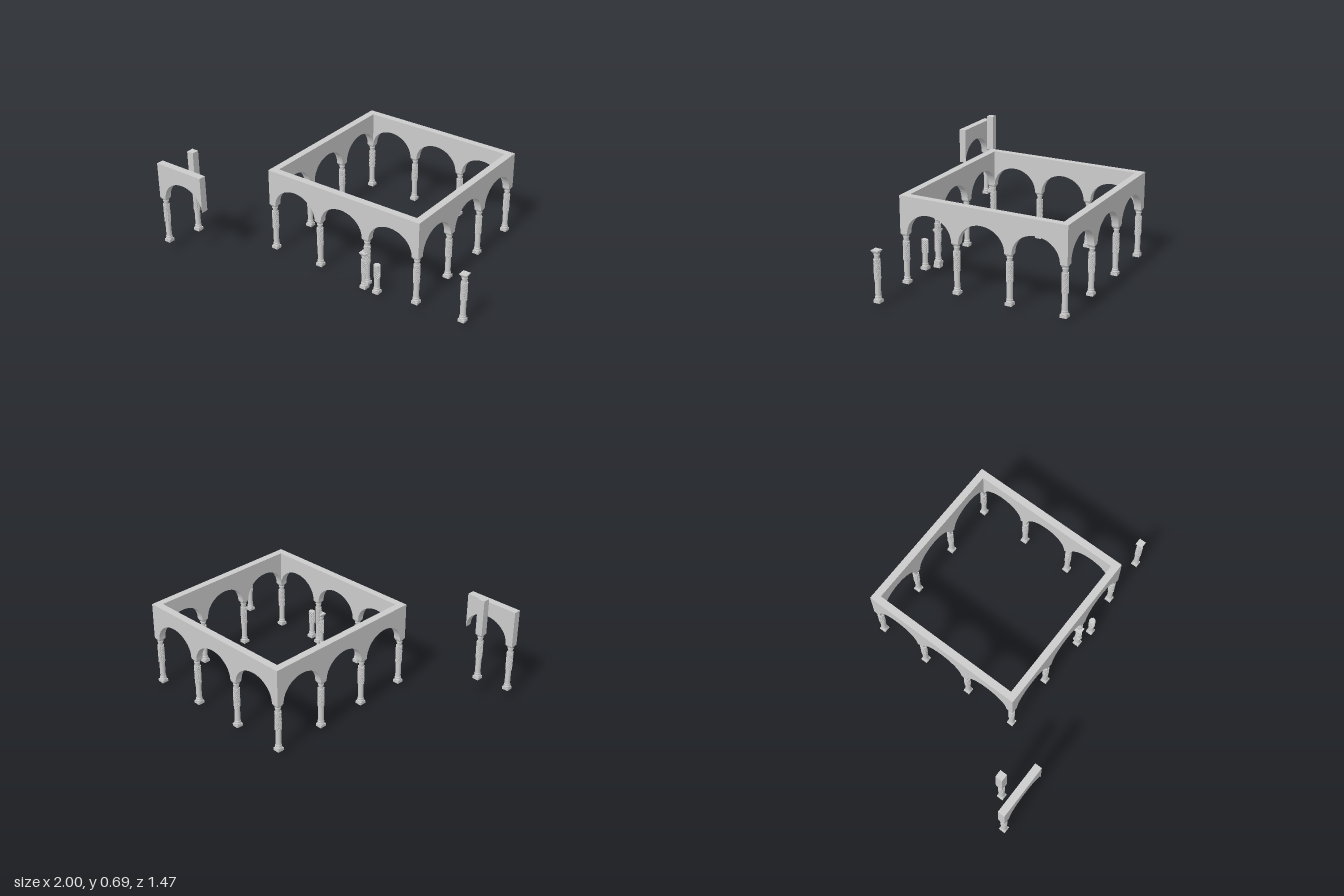
import * as THREE from 'three';

const stone = new THREE.MeshStandardMaterial({ color: 0xcccccc, side: THREE.DoubleSide });
const facet = new THREE.MeshStandardMaterial({ color: 0xcccccc, flatShading: true });

const PIER = 0.0235;   // half width of a pier and half thickness of a wall
const SPRING = 0.352;  // height where the arches start
const APEX = 0.488;
const TOP = 0.586;

function add(parent, name, geometry, material, x = 0, y = 0, z = 0) {
  const mesh = new THREE.Mesh(geometry, material);
  mesh.name = name;
  mesh.position.set(x, y, z);
  parent.add(mesh);
  return mesh;
}

// Square block that tapers from bottom to top, given by its half widths
function squareTaper(bottom, top, height) {
  return new THREE.CylinderGeometry(top * Math.SQRT2, bottom * Math.SQRT2, height, 4, 1)
    .rotateY(Math.PI / 4).translate(0, height / 2, 0);
}

function lathe(points) {
  return new THREE.LatheGeometry(points.map(([r, y]) => new THREE.Vector2(r, y)), 20);
}

// Cylinder with spiralling grooves
function ropeGeometry(height) {
  const geo = new THREE.CylinderGeometry(0.02, 0.02, height, 60, 14);
  geo.translate(0, height / 2, 0);
  const p = geo.attributes.position;
  for (let i = 0; i < p.count; i++) {
    const x = p.getX(i), z = p.getZ(i), y = p.getY(i);
    if (Math.hypot(x, z) < 0.01) continue;
    const a = Math.atan2(z, x);
    const k = 1 + 0.085 * Math.sin(10 * a + y * 500);
    p.setX(i, x * k);
    p.setZ(i, z * k);
  }
  return geo;
}

// Column standing at y = 0; heights give the tops of shaft, rope and capital
function column(parent, x, y, z, shaftTop = 0.145, ropeTop = 0.268, capTop = 0.324) {
  const g = new THREE.Group();
  g.name = 'column';
  g.position.set(x, y, z);
  add(g, 'plinth', squareTaper(0.0215, 0.0215, 0.018), facet);
  add(g, 'baseMoulding', lathe([[0.021, 0.018], [0.0225, 0.022], [0.021, 0.027],
    [0.018, 0.029], [0.019, 0.034], [0.0205, 0.037], [0.0185, 0.041], [0.017, 0.043]]), stone);
  add(g, 'shaft', new THREE.CylinderGeometry(0.0175, 0.0175, shaftTop - 0.04, 20),
    stone, 0, (shaftTop + 0.04) / 2);
  add(g, 'twistedShaft', ropeGeometry(ropeTop - shaftTop), facet, 0, shaftTop);
  if (capTop) {
    const n = capTop - 0.03;
    add(g, 'neck', lathe([[0.0155, ropeTop], [0.0155, n - 0.004], [0.019, n - 0.002],
      [0.019, n + 0.002], [0.016, n + 0.004], [0.018, capTop - 0.016]]), stone);
    add(g, 'capital', squareTaper(0.0155, 0.0225, 0.014), facet, 0, capTop - 0.02);
    add(g, 'abacus', squareTaper(0.0235, 0.0235, 0.006), facet, 0, capTop - 0.006);
  }
  parent.add(g);
}

// Wall with a row of arches; x = 0 is the axis of the first column
function arcade(count, pitch, start, end) {
  const s = new THREE.Shape();
  s.moveTo(start, TOP);
  s.lineTo(start, SPRING);
  for (let i = 0; i < count; i++) {
    s.lineTo(i * pitch + PIER, SPRING);
    s.absellipse((i + 0.5) * pitch, SPRING, pitch / 2 - PIER, APEX - SPRING, Math.PI, 0, true);
  }
  s.lineTo(end, SPRING);
  s.lineTo(end, TOP);
  s.closePath();
  return new THREE.ExtrudeGeometry(s, { depth: 2 * PIER, bevelEnabled: false, curveSegments: 12 })
    .translate(0, 0, -PIER);
}

export function createModel() {
  const model = new THREE.Group();
  const x0 = -0.405, x1 = 0.657, z0 = -0.71, z1 = 0.335;
  const px = (x1 - x0) / 3, pz = (z1 - z0) / 3;

  // Square cloister: front and back walls run through the corners
  const court = new THREE.Group();
  court.name = 'courtyardArcade';
  model.add(court);
  for (const z of [z0, z1]) {
    add(court, 'archWall', arcade(3, px, -PIER, 3 * px + PIER), stone, x0, 0, z);
    for (let i = 0; i < 4; i++) column(court, x0 + i * px, 0.03, z);
  }
  for (const x of [x0, x1]) {
    add(court, 'sideArchWall', arcade(3, pz, PIER, 3 * pz - PIER), stone, x, 0, z0)
      .rotation.y = -Math.PI / 2;
    for (let i = 1; i < 3; i++) column(court, x, 0.03, z0 + i * pz);
  }

  // Single arch bay with one column
  const bay = new THREE.Group();
  bay.name = 'archBay';
  bay.position.set(-0.976, 0.032, 0.712);
  add(bay, 'bayWall', arcade(1, px, -PIER, px - PIER), stone);
  column(bay, 0, 0.03, 0);
  model.add(bay);

  // Lone pier on a column
  const pier = new THREE.Group();
  pier.name = 'pierColumn';
  pier.position.set(-0.835, 0.104, 0.587);
  add(pier, 'pierBlock', new THREE.BoxGeometry(2 * PIER, TOP - SPRING, 2 * PIER), facet,
    0, (TOP + SPRING) / 2);
  column(pier, 0, 0.03, 0);
  model.add(pier);

  // Loose columns: full height, short, and one without a capital
  column(model, 0.973, 0.027, 0.327);
  column(model, 0.29, 0, 0.345, 0.105, 0.2, 0.252);
  column(model, 0.4, 0.02, 0.37, 0.11, 0.196, 0);
  return model;
}
